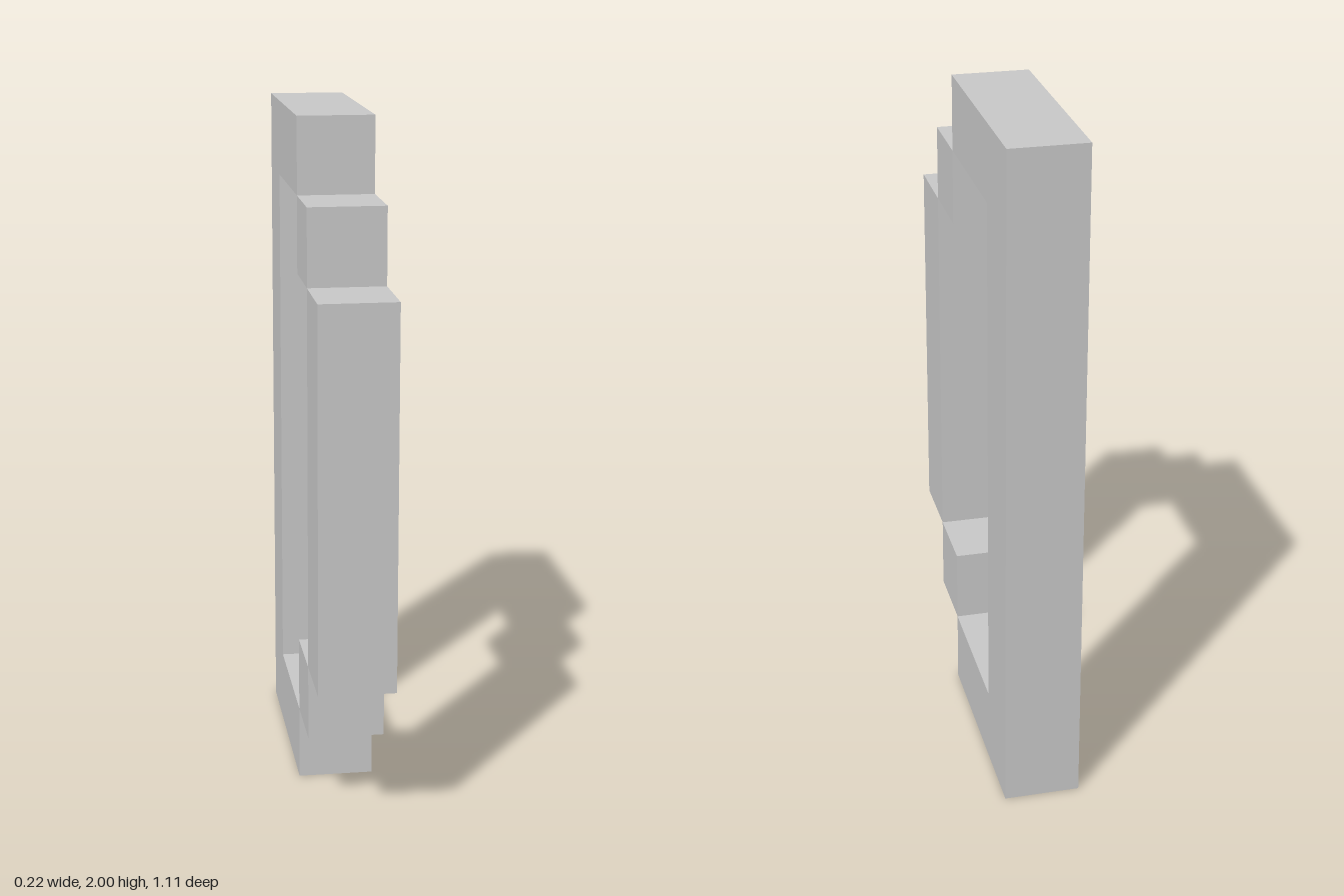
import * as THREE from 'three';

const U = 2 / 9; // one block

export function createModel() {
  const group = new THREE.Group();
  const grey = new THREE.MeshStandardMaterial({ color: 0xc8c8c8 });
  grey.name = 'light grey';

  const add = (name, geometry, y = 0, z = 0) => {
    const mesh = new THREE.Mesh(geometry, grey);
    mesh.name = name;
    mesh.position.set(0, y * U, z * U);
    group.add(mesh);
  };

  // Back bracket: spine with a top and a bottom arm, drawn with -z to the right
  const outline = [
    [-0.5, 0], [2.5, 0], [2.5, 9], [-0.5, 9],
    [-0.5, 8], [1.5, 8], [1.5, 1], [-0.5, 1],
  ].map(([a, b]) => new THREE.Vector2(a * U, b * U));
  const bracket = new THREE.ExtrudeGeometry(new THREE.Shape(outline), { depth: U, bevelEnabled: false });
  bracket.translate(0, 0, -U / 2).rotateY(Math.PI / 2);
  add('backBracket', bracket);

  // Corner cubes stepping out to the front bar
  add('upperCornerCube', new THREE.BoxGeometry(U, U, U), 7.5, 1);
  add('lowerCornerCube', new THREE.BoxGeometry(U, U, U), 1.5, 1);

  // Front bar
  add('frontBar', new THREE.BoxGeometry(U, 5 * U, U), 4.5, 2);

  return group;
}
